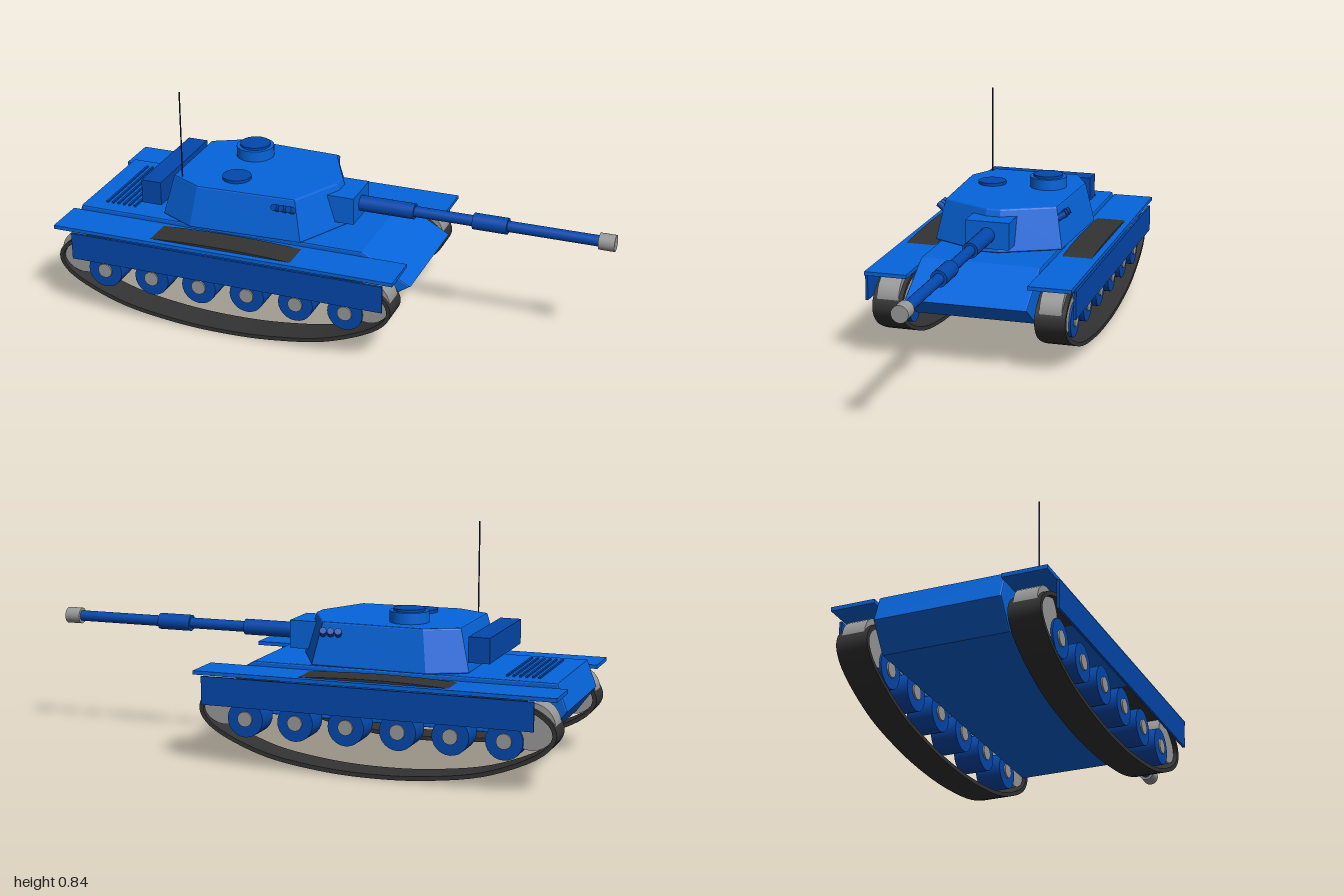
import * as THREE from 'three';
import { toCreasedNormals } from 'three/addons/utils/BufferGeometryUtils.js';

const material = (name, color) => {
  const m = new THREE.MeshStandardMaterial({ color });
  m.name = name;
  return m;
};
const V2 = (p) => new THREE.Vector2(p[0], p[1]);

export function createModel() {
  const tank = new THREE.Group();
  tank.name = 'tank';
  const blue = material('armourBlue', 0x0565dc);
  const deepBlue = material('deepBlue', 0x0348ad);
  const grey = material('steelGrey', 0x999999);
  const rubber = material('trackBlack', 0x333333);
  const navy = material('antennaNavy', 0x10224c);

  const add = (name, geometry, mat, x = 0, y = 0, z = 0) => {
    const mesh = new THREE.Mesh(geometry, mat);
    mesh.name = name;
    mesh.position.set(x, y, z);
    tank.add(mesh);
    return mesh;
  };
  // Box given by its minimum and maximum corners
  const box = (name, mat, [x0, y0, z0], [x1, y1, z1]) =>
    add(name, new THREE.BoxGeometry(x1 - x0, y1 - y0, z1 - z0), mat,
      (x0 + x1) / 2, (y0 + y1) / 2, (z0 + z1) / 2);
  const cylY = (name, mat, r, y0, y1, x, z) =>
    add(name, new THREE.CylinderGeometry(r, r, y1 - y0, 28), mat, x, (y0 + y1) / 2, z);
  const cylX = (name, mat, r, x0, x1, y) =>
    add(name, new THREE.CylinderGeometry(r, r, x1 - x0, 24).rotateZ(-Math.PI / 2), mat, (x0 + x1) / 2, y, 0);
  const cylZ = (name, mat, r, width, x, y, z) =>
    add(name, new THREE.CylinderGeometry(r, r, width, 24).rotateX(Math.PI / 2), mat, x, y, z);
  // Extrusion with a small chamfer kept inside the outline
  const chamfered = (points, depth, b) => {
    const g = new THREE.ExtrudeGeometry(new THREE.Shape(points.map(V2)), {
      depth: depth - 2 * b, bevelEnabled: true, bevelSize: b, bevelThickness: b, bevelOffset: -b, bevelSegments: 2,
    });
    return g.translate(0, 0, b);
  };

  // Hull: side profile extruded across
  const profile = [[-0.93, 0.165], [0.2, 0.165], [0.325, 0.25], [0.14, 0.355], [-0.965, 0.355], [-1, 0.26]];
  add('hull', chamfered(profile, 0.45, 0.006), blue, 0, 0, -0.225);

  // Engine deck grille
  for (let i = 0; i < 6; i++) {
    const x = -0.887 + i * 0.0225;
    box('deckVent', deepBlue, [x - 0.004, 0.352, -0.17], [x + 0.004, 0.361, 0.17]);
  }

  // Turret: plan outline raised and tapered toward the roof
  const half = [[0.022, 0.03], [-0.085, 0.243], [-0.51, 0.26], [-0.645, 0.19]];
  const plan = [...half, ...half.map(([x, z]) => [x, -z]).reverse()];
  const turret = chamfered(plan, 0.154, 0.006).rotateX(-Math.PI / 2);
  const pos = turret.attributes.position;
  for (let i = 0; i < pos.count; i++) {
    const k = 1 - 0.125 * pos.getY(i) / 0.154;
    pos.setX(i, -0.34 + (pos.getX(i) + 0.34) * k);
    pos.setZ(i, pos.getZ(i) * k);
  }
  turret.computeVertexNormals();
  add('turret', turret, blue, 0, 0.358, 0);
  cylY('turretRing', rubber, 0.19, 0.34, 0.362, -0.36, 0);
  box('bustleBox', deepBlue, [-0.722, 0.4, -0.207], [-0.645, 0.49, 0.207]);

  // Roof fittings
  cylY('cupola', blue, 0.07, 0.505, 0.552, -0.4, -0.104);
  cylY('cupolaLid', deepBlue, 0.056, 0.55, 0.561, -0.4, -0.104);
  cylY('hatch', deepBlue, 0.053, 0.505, 0.523, -0.382, 0.113);
  cylY('antenna', navy, 0.0025, 0.5, 0.842, -0.573, 0.17);

  // Gun
  box('mantlet', blue, [-0.05, 0.383, -0.083], [0.058, 0.485, 0.083]);
  cylX('barrelSleeve', deepBlue, 0.029, 0.05, 0.265, 0.434);
  cylX('barrel', deepBlue, 0.02, 0.2, 0.96, 0.434);
  cylX('boreEvacuator', deepBlue, 0.03, 0.485, 0.612, 0.434);
  cylX('muzzle', grey, 0.03, 0.942, 1, 0.434);

  // Track loop: one closed curve with an inset copy, wound the other way, as the hole
  const right = [[0.255, 0.338], [0.46, 0.318], [0.58, 0.283], [0.637, 0.235], [0.645, 0.19], [0.605, 0.135], [0.42, 0.05], [0.2, 0.011]];
  const loop = [[0, 0.346], ...right, [0, 0.001], ...right.map(([u, y]) => [-u, y]).reverse()]
    .map(([u, y]) => new THREE.Vector3(u - 0.35, y, 0));
  const curve = new THREE.CatmullRomCurve3(loop, true);
  const outer = [], inner = [];
  for (let i = 0; i < 96; i++) {
    const p = curve.getPoint(i / 96), t = curve.getTangent(i / 96);
    outer.push(new THREE.Vector2(p.x, p.y));
    inner.unshift(new THREE.Vector2(p.x + t.y * 0.015, p.y - t.x * 0.015));
  }
  const trackShape = new THREE.Shape(outer);
  trackShape.holes.push(new THREE.Path(inner));
  const trackGeometry = toCreasedNormals(
    new THREE.ExtrudeGeometry(trackShape, { depth: 0.112, bevelEnabled: false }).translate(0, 0, -0.056), 0.7);

  // Running gear, fenders and launchers on both sides
  for (const s of [1, -1]) {
    const side = s > 0 ? 'left' : 'right';
    const z = s * 0.301;
    const slab = (name, mat, x0, x1, y0, y1, z0, z1) =>
      box(name, mat, [x0, y0, Math.min(s * z0, s * z1)], [x1, y1, Math.max(s * z0, s * z1)]);
    slab(side + 'Fender', blue, -1, 0.31, 0.323, 0.337, 0.223, 0.381);
    slab(side + 'Skirt', deepBlue, -0.925, 0.275, 0.219, 0.321, 0.381, 0.39);

    add(side + 'Track', trackGeometry, rubber, 0, 0, z);
    for (let i = 0; i < 6; i++) {
      const x = -0.815 + i * 0.1878;
      cylZ(side + 'RoadWheel', deepBlue, 0.066, 0.096, x, 0.17, z);
      cylZ(side + 'WheelHub', grey, 0.027, 0.108, x, 0.17, z);
    }
    cylZ(side + 'Sprocket', grey, 0.082, 0.082, -0.907, 0.226, z);
    cylZ(side + 'Idler', grey, 0.082, 0.082, 0.207, 0.226, z);

    const aim = new THREE.Vector3(-0.25, 0.5, s * 0.85).normalize();
    for (let i = 0; i < 3; i++) {
      const tube = add(side + 'SmokeLauncher', new THREE.CylinderGeometry(0.0125, 0.0125, 0.055, 14), deepBlue,
        -0.178 + i * 0.028, 0.472, s * 0.222);
      tube.quaternion.setFromUnitVectors(new THREE.Vector3(0, 1, 0), aim);
    }
  }
  return tank;
}
